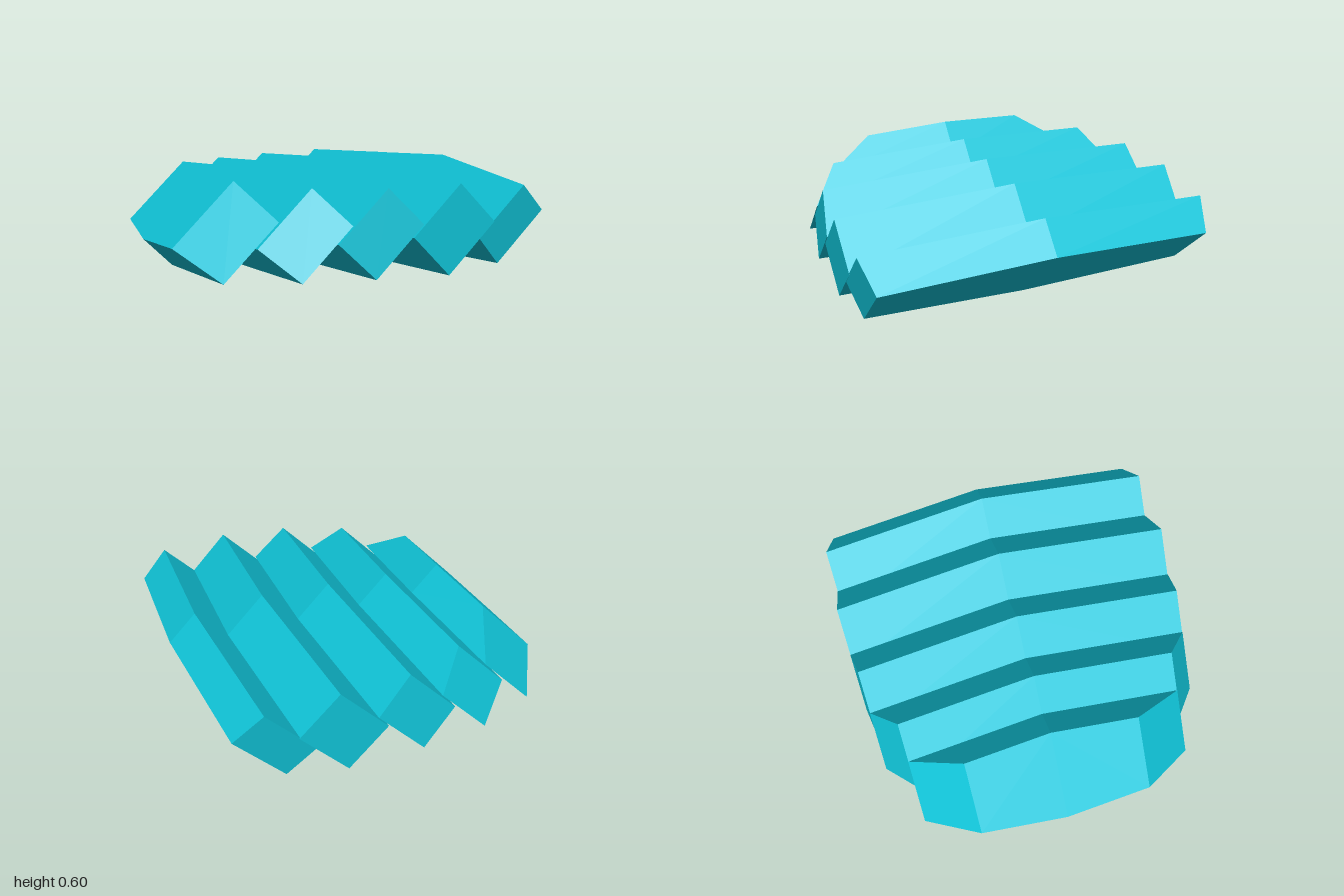
import * as THREE from 'three';

const HALF_LENGTH = 0.277; // half of a slab along its slope, at the middle
const TAPER = 0.097;       // how much the slab shortens towards its sides

// Hexagonal outline of a slab face: pointed at both ends, straight at the sides
function outline(halfWidth, depth) {
  const e = HALF_LENGTH - TAPER * halfWidth;
  return [
    [HALF_LENGTH, 0], [e, halfWidth], [-e, halfWidth],
    [-HALF_LENGTH, 0], [-e, -halfWidth], [e, -halfWidth],
  ].map(([x, y]) => new THREE.Vector3(x, y, depth));
}

// Solid between two outlines of different width
function slabGeometry(nearWidth, farWidth, thickness) {
  const near = outline(nearWidth, 0);
  const far = outline(farWidth, thickness);
  const points = [];
  const n = near.length;
  for (let i = 0; i < n; i++) {
    const j = (i + 1) % n;
    points.push(near[i], near[j], far[j], near[i], far[j], far[i]);
  }
  for (let i = 1; i < n - 1; i++) {
    points.push(far[0], far[i], far[i + 1]);
    points.push(near[0], near[i + 1], near[i]);
  }
  const geometry = new THREE.BufferGeometry().setFromPoints(points);
  geometry.computeVertexNormals();
  return geometry;
}

export function createModel() {
  const model = new THREE.Group();
  model.name = 'leaningSlabs';
  const material = new THREE.MeshStandardMaterial({ color: 0x10c4d8, flatShading: true });

  // Slab axes: length up the 45 degree slope, width along z, thickness down to the right
  const r = Math.SQRT1_2;
  const tilt = new THREE.Matrix4().makeBasis(
    new THREE.Vector3(r, r, 0),
    new THREE.Vector3(0, 0, 1),
    new THREE.Vector3(r, -r, 0),
  );

  // Centre of the upper left face (x, y), half widths of both faces, thickness
  const slabs = [
    [-0.804, 0.388, 0.485, 0.777, 0.219],
    [-0.475, 0.392, 0.777, 0.922, 0.236],
    [-0.118, 0.402, 0.922, 0.957, 0.262],
    [0.273, 0.413, 0.957, 0.947, 0.297],
    [0.655, 0.383, 0.947, 0.9, 0.21],
  ];
  slabs.forEach(([x, y, nearWidth, farWidth, thickness], i) => {
    const slab = new THREE.Mesh(slabGeometry(nearWidth, farWidth, thickness), material);
    slab.name = `slab${i + 1}`;
    slab.quaternion.setFromRotationMatrix(tilt);
    slab.position.set(x, y, 0);
    model.add(slab);
  });
  return model;
}
